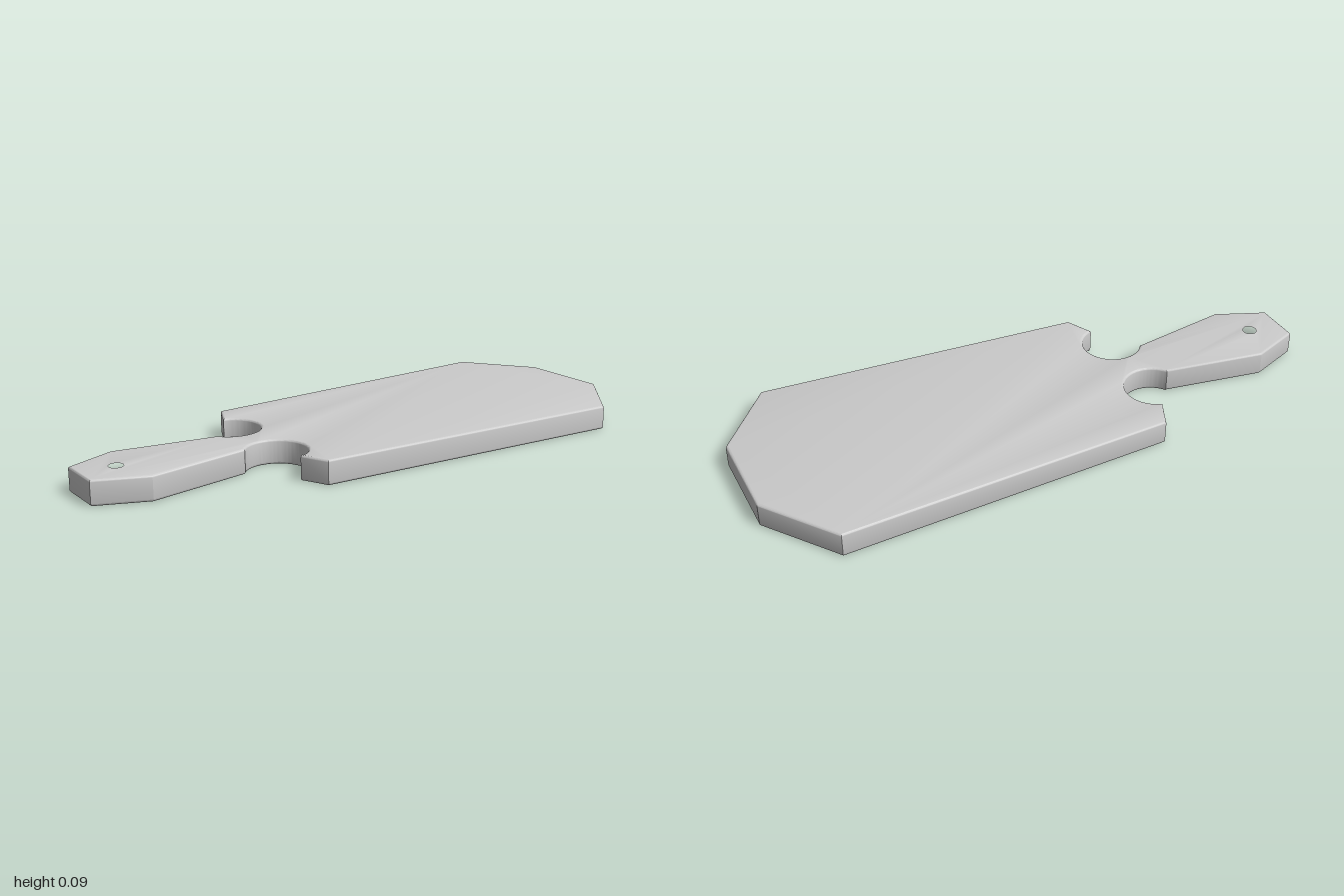
import * as THREE from 'three';
import { toCreasedNormals } from 'three/addons/utils/BufferGeometryUtils.js';

const HEIGHT = 0.085;
const BEVEL = 0.008;
const NOTCH = 0.102;
const rad = THREE.MathUtils.degToRad;

export function createModel() {
  const group = new THREE.Group();
  group.name = 'cuttingBoard';

  // Plan outline, drawn as (x, z) with z flipped into the shape's y
  const shape = new THREE.Shape();
  const lines = (points) => points.forEach(([x, z]) => shape.lineTo(x, -z));
  const notch = (x, z, from, to) => shape.absarc(x, -z, NOTCH, rad(from), rad(to), false);

  // Blade of the board with its faceted far end
  shape.moveTo(-0.515, -0.225);
  lines([[-0.26, -0.89], [0.02, -1], [0.33, -0.918], [0.51, -0.67], [0.14, 0.408], [0.04, 0.425]]);
  // Notch, tapered handle, notch
  notch(-0.063, 0.425, 0, 220);
  lines([[-0.142, 0.492], [-0.18, 0.848], [-0.295, 0.995], [-0.447, 0.952], [-0.465, 0.77], [-0.315, 0.445]]);
  notch(-0.347, 0.345, -73, 149);
  shape.closePath();

  // Hanging hole in the handle
  const hole = new THREE.Path();
  hole.absarc(-0.338, -0.855, 0.032, 0, Math.PI * 2, true);
  shape.holes.push(hole);

  // Slab with softly rounded rims, laid flat
  const slab = new THREE.ExtrudeGeometry(shape, {
    depth: HEIGHT - 2 * BEVEL,
    bevelSize: BEVEL,
    bevelThickness: BEVEL,
    bevelOffset: -BEVEL,
    bevelSegments: 4,
    curveSegments: 32,
  });
  slab.translate(0, 0, BEVEL);
  slab.rotateX(-Math.PI / 2);

  const board = new THREE.Mesh(
    toCreasedNormals(slab, rad(28)),
    new THREE.MeshStandardMaterial({ color: 0xcccccc })
  );
  board.name = 'board';
  group.add(board);
  return group;
}
